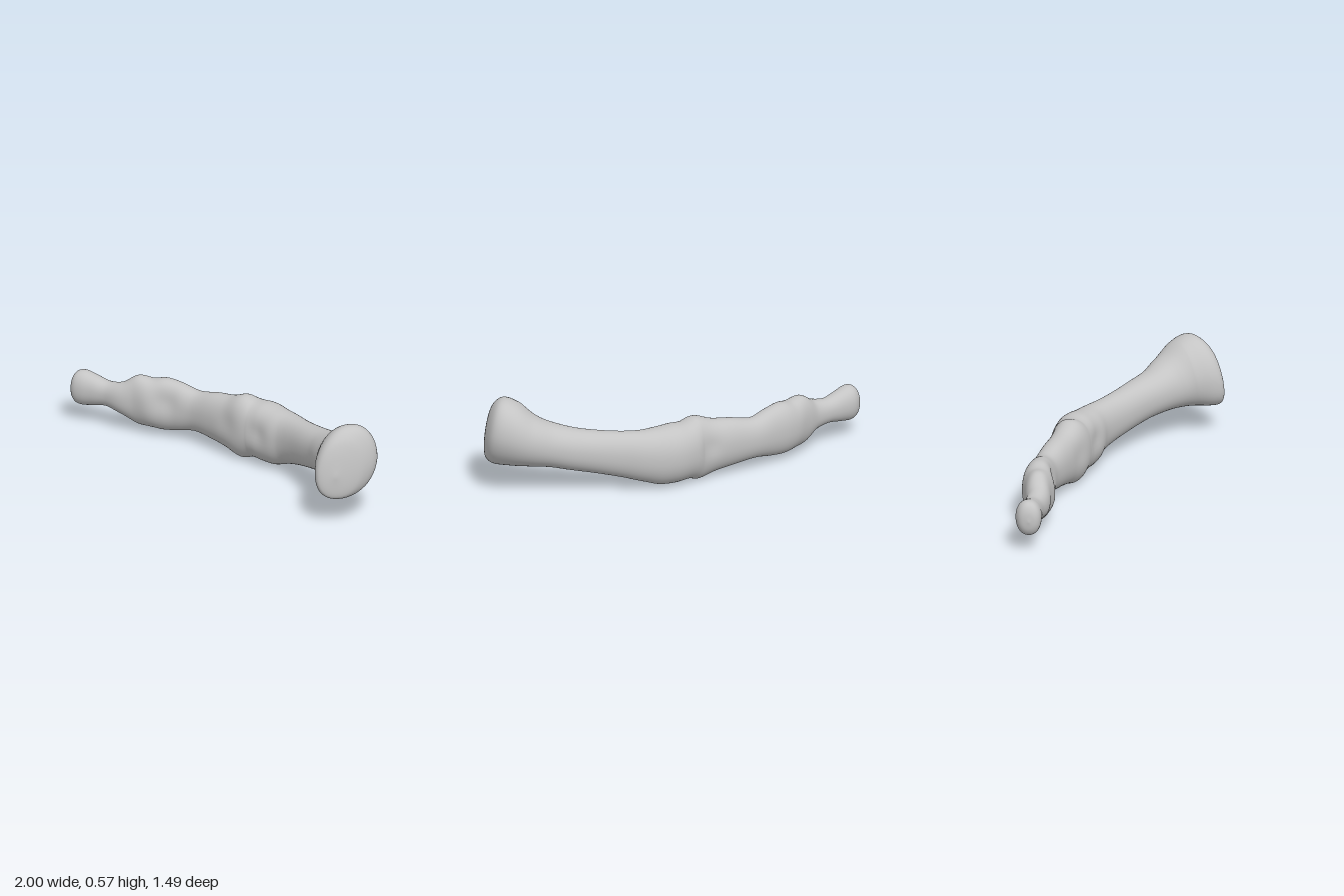
import * as THREE from 'three';
import { mergeVertices } from 'three/addons/utils/BufferGeometryUtils.js';

// Cross-sections along the bone: x, z, half width, bottom y, top y
const SECTIONS = [
  [-1.0, -0.685, 0, 0.2, 0.2],
  [-0.99, -0.685, 0.042, 0.145, 0.26],
  [-0.965, -0.68, 0.066, 0.11, 0.3],
  [-0.92, -0.672, 0.076, 0.1, 0.31],
  [-0.85, -0.65, 0.069, 0.11, 0.29],
  [-0.77, -0.62, 0.062, 0.12, 0.27],
  [-0.68, -0.58, 0.07, 0.095, 0.29],
  [-0.59, -0.565, 0.078, 0.05, 0.343],
  [-0.5, -0.545, 0.097, 0.042, 0.337],
  [-0.42, -0.53, 0.097, 0.035, 0.35],
  [-0.33, -0.505, 0.087, 0.045, 0.337],
  [-0.22, -0.465, 0.082, 0.062, 0.308],
  [-0.1, -0.395, 0.092, 0.047, 0.333],
  [0.0, -0.33, 0.102, 0.028, 0.35],
  [0.09, -0.272, 0.115, 0.0, 0.385],
  [0.165, -0.243, 0.127, 0.02, 0.368],
  [0.24, -0.203, 0.135, 0.015, 0.37],
  [0.315, -0.145, 0.125, 0.018, 0.36],
  [0.39, -0.085, 0.107, 0.048, 0.355],
  [0.465, 0.0, 0.096, 0.08, 0.357],
  [0.555, 0.11, 0.1, 0.112, 0.37],
  [0.645, 0.225, 0.11, 0.14, 0.393],
  [0.71, 0.33, 0.125, 0.16, 0.425],
  [0.77, 0.42, 0.15, 0.165, 0.475],
  [0.815, 0.515, 0.175, 0.162, 0.55],
  [0.83, 0.605, 0.18, 0.157, 0.573],
  [0.815, 0.67, 0.145, 0.165, 0.53],
  [0.8, 0.705, 0.09, 0.2, 0.45],
  [0.79, 0.725, 0, 0.31, 0.31],
];

// Hollows and swellings: x, y, z, radius, height
const RELIEF = [
  [-0.42, 0.24, -0.44, 0.08, -0.02],
  [0.0, 0.22, -0.22, 0.08, -0.012],
  [0.19, 0.22, -0.11, 0.07, -0.022],
  [0.09, 0.22, -0.39, 0.06, -0.01],
  [0.7, 0.22, 0.68, 0.08, 0.012],
];

function boneGeometry(rings = 196, sides = 48) {
  const last = SECTIONS.length - 1;
  const path = new THREE.CatmullRomCurve3(
    SECTIONS.map(([x, z]) => new THREE.Vector3(x, 0, z)), false, 'catmullrom');
  const size = new THREE.CatmullRomCurve3(
    SECTIONS.map(([, , w, b, t]) => new THREE.Vector3(w, b, t)), false, 'catmullrom');
  const round = (v) => Math.sign(v) * Math.abs(v) ** 0.92;
  const positions = [], index = [];
  const p = new THREE.Vector3(), out = new THREE.Vector3();

  for (let i = 0; i <= rings; i++) {
    const t = i / rings;
    const c = path.getPoint(t), s = size.getPoint(t);
    // sections stay parallel inside the two rounded ends
    const dir = path.getTangent(THREE.MathUtils.clamp(t, 3 / last, 24 / last));
    const side = new THREE.Vector3(-dir.z, 0, dir.x);
    const half = (s.z - s.y) / 2, mid = (s.z + s.y) / 2;
    const head = THREE.MathUtils.smoothstep(t, 21 / last, 25 / last);
    for (let j = 0; j < sides; j++) {
      const a = (j / sides) * Math.PI * 2;
      const u = round(Math.cos(a)), v = round(Math.sin(a));
      // the large head narrows upward and its lower edge leans out
      const w = s.x * u * (1 - 0.12 * head * Math.max(v, 0));
      const lean = -0.025 * head * v * (s.x / 0.18);
      p.copy(c).addScaledVector(side, w + lean).addScaledVector(dir, lean);
      p.y = mid + half * v;
      out.copy(side).multiplyScalar(u).setY(v).normalize();
      let lift = 0;
      for (const [x, y, z, r, h] of RELIEF) {
        lift += h * Math.exp(-((p.x - x) ** 2 + (p.y - y) ** 2 + (p.z - z) ** 2) / (r * r));
      }
      if (i > 0 && i < rings) p.addScaledVector(out, lift);
      positions.push(p.x, p.y, p.z);
      if (i < rings) {
        const k = i * sides + j, n = i * sides + (j + 1) % sides;
        if (i > 0) index.push(k, k + sides, n);
        else index.push(k, k + sides, n + sides);
        if (i > 0 && i < rings - 1) index.push(n, k + sides, n + sides);
      }
    }
  }
  let geo = new THREE.BufferGeometry();
  geo.setAttribute('position', new THREE.Float32BufferAttribute(positions, 3));
  geo.setIndex(index);
  geo = mergeVertices(geo, 1e-5);
  geo.computeVertexNormals();
  return geo;
}

export function createModel() {
  const group = new THREE.Group();
  group.name = 'curvedBone';
  const boneGrey = new THREE.MeshStandardMaterial({ color: 0xc4c4c4 });
  boneGrey.name = 'boneGrey';
  const bone = new THREE.Mesh(boneGeometry(), boneGrey);
  bone.name = 'boneShaftAndHeads';
  group.add(bone);
  return group;
}
